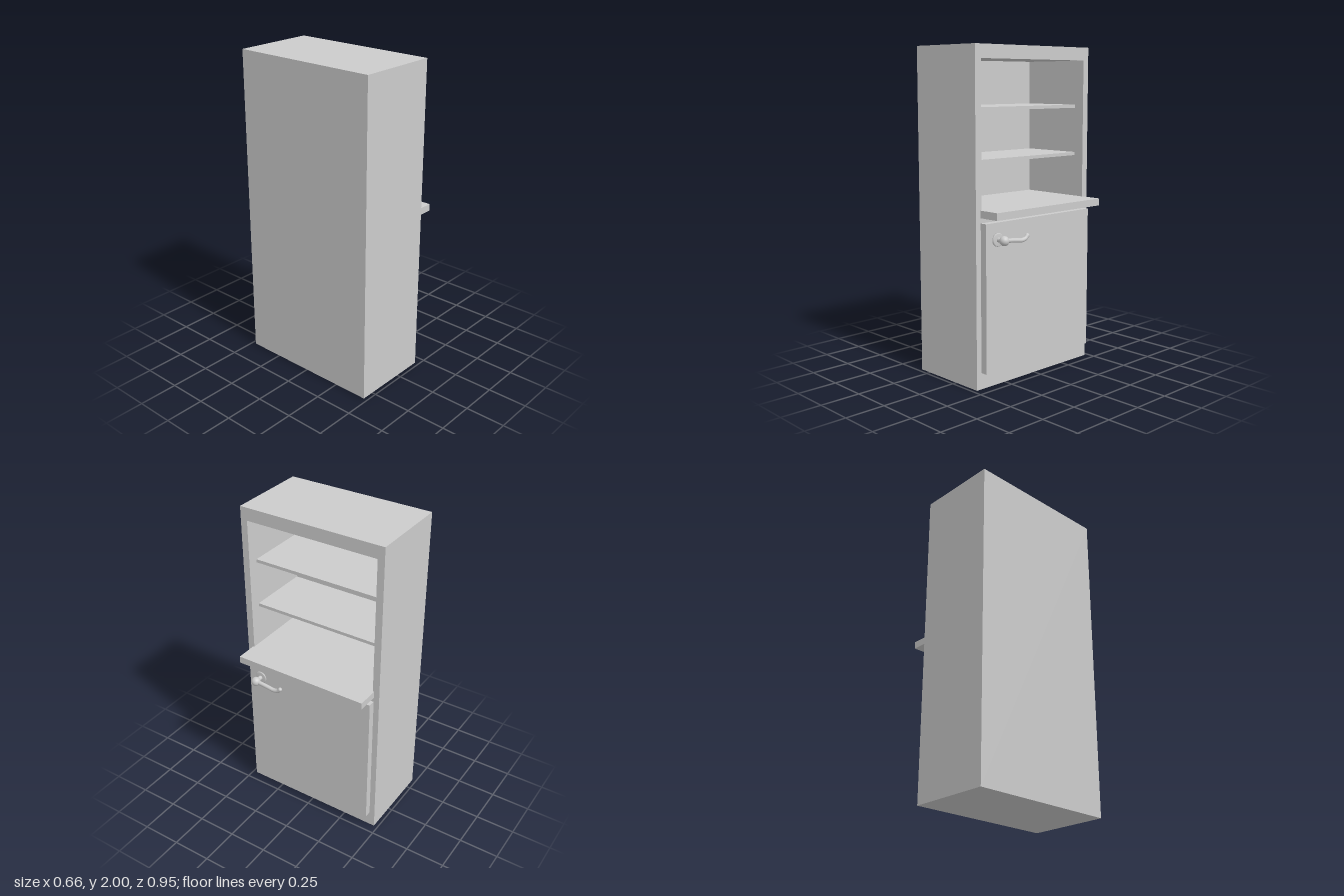
import * as THREE from 'three';

const grey = new THREE.MeshStandardMaterial({ color: 0xcccccc });

function add(parent, name, geometry, x = 0, y = 0, z = 0) {
  const mesh = new THREE.Mesh(geometry, grey);
  mesh.name = name;
  mesh.position.set(x, y, z);
  parent.add(mesh);
  return mesh;
}

// Box given by its limits along x and y, centred on z
function slab(parent, name, x0, x1, y0, y1, width) {
  return add(parent, name, new THREE.BoxGeometry(x1 - x0, y1 - y0, width), (x0 + x1) / 2, (y0 + y1) / 2, 0);
}

function rectangle(target, halfWidth, y0, y1) {
  target.moveTo(-halfWidth, y0);
  target.lineTo(halfWidth, y0);
  target.lineTo(halfWidth, y1);
  target.lineTo(-halfWidth, y1);
  target.closePath();
  return target;
}

export function createModel() {
  const group = new THREE.Group();
  group.name = 'cabinet';
  const back = -0.33, face = 0.19, inner = -0.285, doorFace = 0.235;

  // Carcass: outline with the open upper compartment cut through, closed by a back panel
  const outline = rectangle(new THREE.Shape(), 0.474, 0, 2);
  outline.holes.push(rectangle(new THREE.Path(), 0.43, 1.04, 1.92));
  const carcass = new THREE.ExtrudeGeometry(outline, { depth: face - inner, bevelEnabled: false });
  carcass.rotateY(Math.PI / 2);
  add(group, 'carcass', carcass, inner, 0, 0);
  slab(group, 'backPanel', back, inner, 0, 2, 0.948);

  // Recessed shelves
  for (const y of [1.325, 1.626]) slab(group, 'shelf', inner, 0.123, y, y + 0.02, 0.86);

  // Worktop and lower door
  slab(group, 'worktop', inner, 0.328, 1.02, 1.064, 0.876);
  slab(group, 'door', face, doorFace, 0.1, 0.99, 0.876);

  // Door handle: rosette, stem, ball and curved lever
  const handle = new THREE.Group();
  handle.name = 'handle';
  handle.position.set(doorFace, 0.89, 0.35);
  group.add(handle);
  const profile = [[0, 0], [0.04, 0], [0.04, 0.006], [0.035, 0.01], [0, 0.01]].map(p => new THREE.Vector2(...p));
  add(handle, 'rosette', new THREE.LatheGeometry(profile, 32).rotateZ(-Math.PI / 2));
  add(handle, 'stem', new THREE.CylinderGeometry(0.014, 0.014, 0.06, 20).rotateZ(Math.PI / 2), 0.03, 0, 0);
  add(handle, 'ball', new THREE.SphereGeometry(0.029, 28, 20), 0.058, 0, 0);

  const path = new THREE.CatmullRomCurve3([
    [0, 0], [-0.05, -0.003], [-0.1, -0.009], [-0.14, -0.013], [-0.17, -0.005], [-0.185, 0.01]
  ].map(([z, y]) => new THREE.Vector3(0.058, y, z)));
  add(handle, 'lever', new THREE.TubeGeometry(path, 40, 0.013, 16));
  const tip = path.getPoint(1);
  add(handle, 'leverTip', new THREE.SphereGeometry(0.013, 16, 12), tip.x, tip.y, tip.z);

  return group;
}
